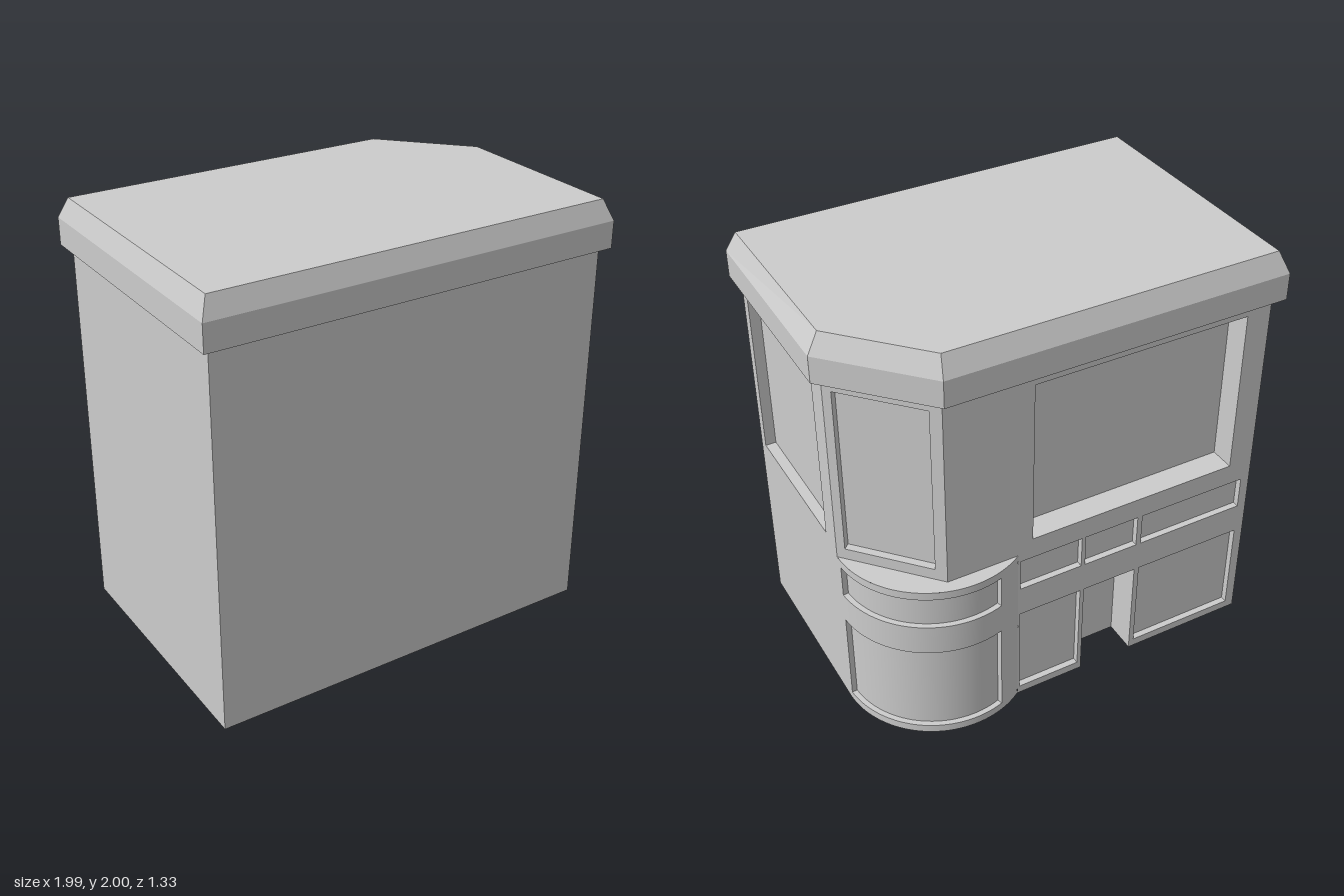
import * as THREE from 'three';

const material = new THREE.MeshStandardMaterial({ color: 0xcccccc, side: THREE.DoubleSide });

function addMesh(parent, name, geometry) {
  const mesh = new THREE.Mesh(geometry, material);
  mesh.name = name;
  parent.add(mesh);
  return mesh;
}

// Band of quads joining two rows of [x, y, z] points
function strip(a, b, closed = false, smooth = false) {
  const n = a.length, index = [];
  for (let i = 0; i < (closed ? n : n - 1); i++) {
    const j = (i + 1) % n;
    index.push(i, j, n + j, i, n + j, n + i);
  }
  let geo = new THREE.BufferGeometry();
  geo.setAttribute('position', new THREE.Float32BufferAttribute([...a, ...b].flat(), 3));
  geo.setIndex(index);
  if (!smooth) geo = geo.toNonIndexed();
  geo.computeVertexNormals();
  return geo;
}

// Horizontal face through [x, z] points
function flat(points, y) {
  const shape = new THREE.Shape(points.map(([x, z]) => new THREE.Vector2(x, -z)));
  return new THREE.ShapeGeometry(shape).rotateX(-Math.PI / 2).translate(0, y, 0);
}

const atHeight = (points, y) => points.map(([x, z]) => [x, y, z]);
const rect = (u0, v0, u1, v1) => [[u1, v0], [u1, v1], [u0, v1], [u0, v0]];
const toShape = (pts) => new THREE.Shape(pts.map(([u, v]) => new THREE.Vector2(u, v)));

// Wall from a to b ([x, z]); each recess reaches inwards to a pane.
// A recess that touches the foot of the wall is cut as an open notch.
function addWall(parent, name, a, b, y0, y1, recesses = []) {
  const group = new THREE.Group();
  group.name = name;
  const dx = b[0] - a[0], dz = b[1] - a[1], length = Math.hypot(dx, dz);
  const outline = [[0, y0]], holes = [];
  for (const { u0, v0, u1, v1, depth, slant = 0, part } of recesses) {
    const notch = v0 === y0;
    const rim = rect(u0, v0, u1, v1);
    const inner = rect(u0, v0, u1 - slant, v1);
    if (notch) outline.push(...[...rim].reverse());
    else holes.push(toShape(rim));
    const front = rim.map(([u, v]) => [u, v, 0]);
    const back = inner.map(([u, v]) => [u, v, -depth]);
    addMesh(group, part + 'Reveal', strip(front, back, !notch));
    addMesh(group, part + 'Pane', new THREE.ShapeGeometry(toShape(inner)).translate(0, 0, -depth));
  }
  outline.push([length, y0], [length, y1], [0, y1]);
  const shape = toShape(outline);
  shape.holes.push(...holes);
  addMesh(group, name + 'Face', new THREE.ShapeGeometry(shape));
  group.position.set(a[0], 0, a[1]);
  group.rotation.y = Math.atan2(-dz, dx);
  parent.add(group);
}

// Rounded shopfront corner: bands stand proud of two recessed curved panels
const CX = 0.5, CZ = -0.23, R = 0.44, R_IN = 0.415, LEDGE = 0.85;
const rad = THREE.MathUtils.degToRad;
const T_START = 0, T_PANEL0 = rad(3.9), T_PANEL1 = rad(107), T_END = rad(122.8);

function arc(r, y, t0, t1, n) {
  return Array.from({ length: n + 1 }, (_, i) => {
    const t = t0 + (t1 - t0) * i / n;
    return [CX + r * Math.cos(t), y, CZ - r * Math.sin(t)];
  });
}

function addRoundedCorner(parent, chamfer) {
  const group = new THREE.Group();
  group.name = 'roundedCorner';
  const profile = [[R, 0], [R, 0.04], [R_IN, 0.04], [R_IN, 0.5], [R, 0.5], [R, 0.65],
    [R_IN, 0.65], [R_IN, 0.81], [R, 0.81], [R, LEDGE]];
  const rows = profile.map(([r, y]) => arc(r, y, T_PANEL0, T_PANEL1, 32));
  for (let i = 0; i < rows.length - 1; i++) {
    addMesh(group, 'curvedBand', strip(rows[i], rows[i + 1], false, true));
  }
  // Plain piers either side of the panels
  for (const [t0, t1] of [[T_START, T_PANEL0], [T_PANEL1, T_END]]) {
    addMesh(group, 'pier', strip(arc(R, 0, t0, t1, 6), arc(R, LEDGE, t0, t1, 6), false, true));
  }
  // End reveals of the panels
  for (const [y0, y1] of [[0.04, 0.5], [0.65, 0.81]]) {
    for (const t of [T_PANEL0, T_PANEL1]) {
      const edge = (y) => [R, R_IN].map((r) => arc(r, y, t, t, 1)[0]);
      const [lo, hi] = [edge(y0), edge(y1)];
      addMesh(group, 'panelEnd', t === T_PANEL0 ? strip(hi, lo) : strip(lo, hi));
    }
  }
  const rim = arc(R, 0, T_START, T_END, 40).map(([x, , z]) => [x, z]);
  addMesh(group, 'ledge', flat([...rim, chamfer], LEDGE));
  parent.add(group);
}

export function createModel() {
  const model = new THREE.Group();
  model.name = 'cornerShop';
  const EAVES = 1.78;
  const plan = [[0.94, 0.63], [0.94, -0.23], [0.6, -0.6], [-0.96, -0.6], [-0.96, 0.63]];
  const [frontLeft, sideEnd, backStart, backRight, frontRight] = plan;

  // Plain walls
  addWall(model, 'frontWall', frontRight, frontLeft, 0, EAVES);
  addWall(model, 'rightWall', backRight, frontRight, 0, EAVES);

  // Windowed side and chamfered corner
  addWall(model, 'leftWall', frontLeft, sideEnd, 0, EAVES, [
    { part: 'sideWindow', u0: 0.05, u1: 0.75, v0: 0.905, v1: 1.72, depth: 0.05, slant: 0.02 }]);
  addWall(model, 'chamferWall', sideEnd, backStart, LEDGE, EAVES, [
    { part: 'cornerWindow', u0: 0.04, u1: 0.448, v0: 0.905, v1: 1.72, depth: 0.035 }]);

  // Back wall: one big window above, panels and a deep doorway below
  addWall(model, 'upperBackWall', backStart, backRight, LEDGE, EAVES, [
    { part: 'largeWindow', u0: 0.41, u1: 1.44, v0: 0.915, v1: 1.715, depth: 0.12 }]);
  const x0 = CX + R * Math.cos(T_END);
  const columns = [[0.25, -0.06], [-0.08, -0.35], [-0.375, -0.915]];
  const recesses = [];
  columns.forEach(([xa, xb], i) => {
    const span = { u0: x0 - xa, u1: x0 - xb };
    recesses.push({ ...span, part: 'upperPanel', v0: 0.65, v1: 0.81, depth: 0.03 });
    recesses.push(i === 1
      ? { ...span, part: 'doorway', v0: 0, v1: 0.5, depth: 0.155 }
      : { ...span, part: 'lowerPanel', v0: 0.04, v1: 0.5, depth: 0.03 });
  });
  addWall(model, 'lowerBackWall', [x0, -0.6], backRight, 0, LEDGE, recesses);
  addRoundedCorner(model, backStart);

  // Roof: overhanging fascia with a bevelled top edge
  const eaves = [[0.98, 0.665], [0.99, -0.25], [0.615, -0.65], [-0.995, -0.65], [-0.995, 0.665]];
  const top = [[0.94, 0.63], [0.94, -0.24], [0.6, -0.605], [-0.96, -0.605], [-0.96, 0.63]];
  const roof = new THREE.Group();
  roof.name = 'roof';
  addMesh(roof, 'soffit', strip(atHeight(plan, EAVES), atHeight(eaves, EAVES), true));
  addMesh(roof, 'fascia', strip(atHeight(eaves, EAVES), atHeight(eaves, 1.905), true));
  addMesh(roof, 'bevel', strip(atHeight(eaves, 1.905), atHeight(top, 2), true));
  addMesh(roof, 'roofTop', flat(top, 2));
  model.add(roof);
  return model;
}
